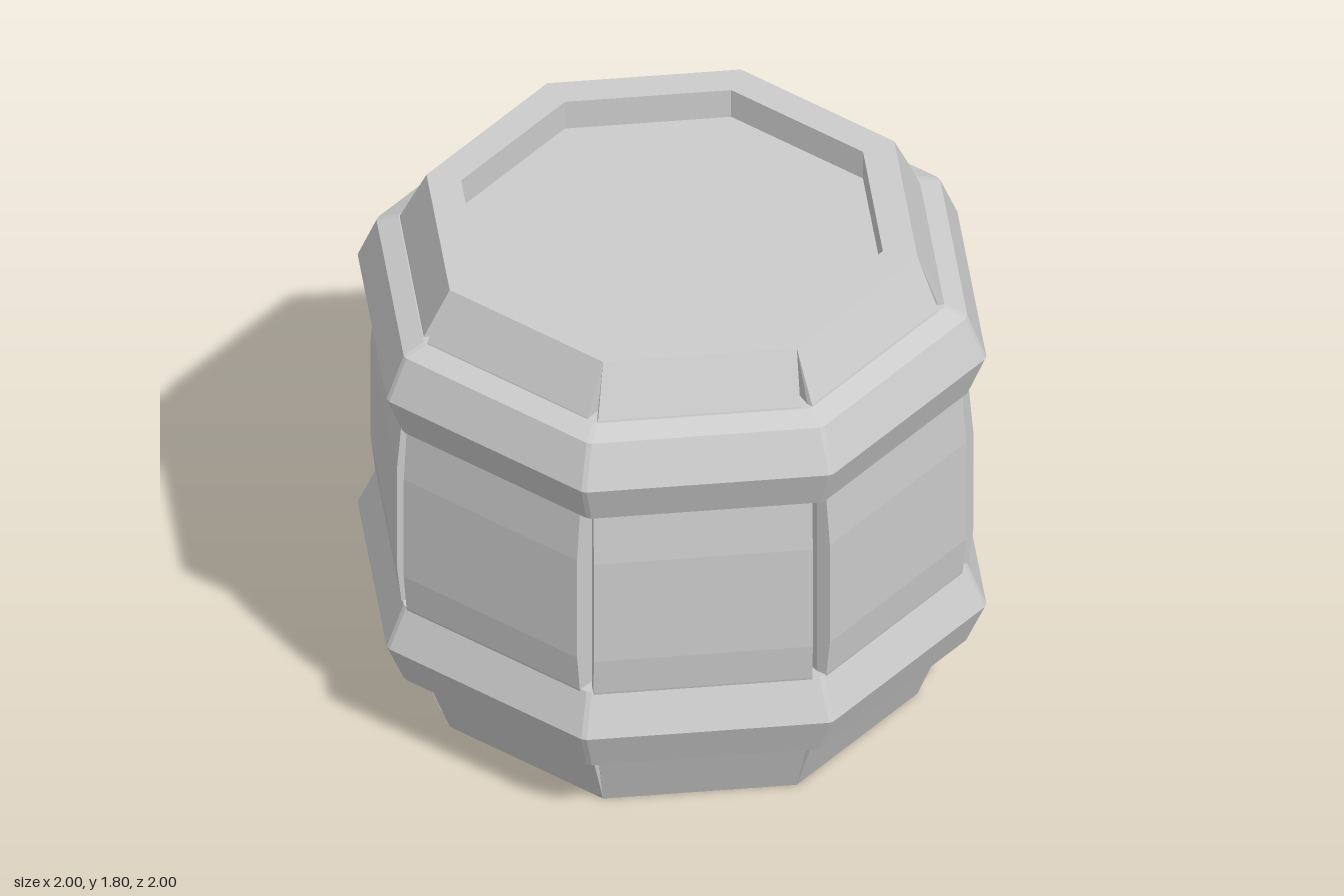
import * as THREE from 'three';

const TAN = Math.tan(Math.PI / 8);
const INNER = 0.67; // apothem of the hollow inside the staves

const material = new THREE.MeshStandardMaterial({ color: 0xcccccc, flatShading: true });

// Joins horizontal rings of [x, y, z] corners, each ring above the last.
function loft(rings, capped) {
  const pos = [];
  const tri = (a, b, c) => pos.push(...a, ...b, ...c);
  const n = rings[0].length;
  for (let i = 0; i < rings.length - 1; i++) {
    for (let j = 0; j < n; j++) {
      const k = (j + 1) % n;
      tri(rings[i][j], rings[i][k], rings[i + 1][k]);
      tri(rings[i][j], rings[i + 1][k], rings[i + 1][j]);
    }
  }
  if (capped) {
    const low = rings[0], high = rings[rings.length - 1];
    for (let j = 1; j < n - 1; j++) {
      tri(low[0], low[j + 1], low[j]);
      tri(high[0], high[j], high[j + 1]);
    }
  }
  const geometry = new THREE.BufferGeometry();
  geometry.setAttribute('position', new THREE.Float32BufferAttribute(pos, 3));
  geometry.computeVertexNormals();
  return geometry;
}

// Stave section: straight side walls that meet the mitre plane, forming a groove.
function staveSection([y, a, left, right]) {
  const h = INNER * TAN;
  return [
    [-left, y, a], [right, y, a], [right, y, right / TAN],
    [h, y, INNER], [-h, y, INNER], [-left, y, left / TAN],
  ];
}

// Octagon with slightly bevelled corners.
function octagon([y, a]) {
  const ring = [];
  const w = a * TAN - 0.01;
  for (let i = 0; i < 8; i++) {
    const s = Math.sin(i * Math.PI / 4), c = Math.cos(i * Math.PI / 4);
    for (const x of [-w, w]) ring.push([x * c + a * s, y, a * c - x * s]);
  }
  return ring;
}

export function createModel() {
  const barrel = new THREE.Group();
  barrel.name = 'barrel';
  const add = (name, geometry) => {
    const mesh = new THREE.Mesh(geometry, material);
    mesh.name = name;
    barrel.add(mesh);
    return mesh;
  };

  // Eight bulging staves: height, apothem, left and right half-width
  const staveGeometry = loft([
    [0, 0.78, 0.323, 0.323],
    [0.25, 0.875, 0.35, 0.35],
    [0.56, 0.945, 0.375, 0.355],
    [0.7, 0.96, 0.375, 0.355],
    [1.1, 0.96, 0.375, 0.355],
    [1.28, 0.945, 0.375, 0.355],
    [1.62, 0.865, 0.35, 0.325],
    [1.8, 0.78, 0.323, 0.323],
  ].map(staveSection), true);
  for (let i = 0; i < 8; i++) {
    add('stave', staveGeometry).rotation.y = i * Math.PI / 4;
  }

  // Ridged hoops, with their ends buried in the staves
  add('lowerHoop', loft([
    [0.235, 0.7], [0.24, 0.88], [0.26, 0.94], [0.41, 1], [0.56, 0.94], [0.54, 0.7],
  ].map(octagon), false));
  add('upperHoop', loft([
    [1.29, 0.7], [1.28, 0.945], [1.43, 1], [1.585, 0.94], [1.615, 0.87], [1.62, 0.7],
  ].map(octagon), false));

  // Recessed heads closing both ends
  const radius = 0.7 / Math.cos(Math.PI / 8);
  const headGeometry = new THREE.CylinderGeometry(radius, radius, 0.08, 8).rotateY(Math.PI / 8);
  add('topHead', headGeometry).position.y = 1.65;
  add('bottomHead', headGeometry).position.y = 0.1;

  return barrel;
}
